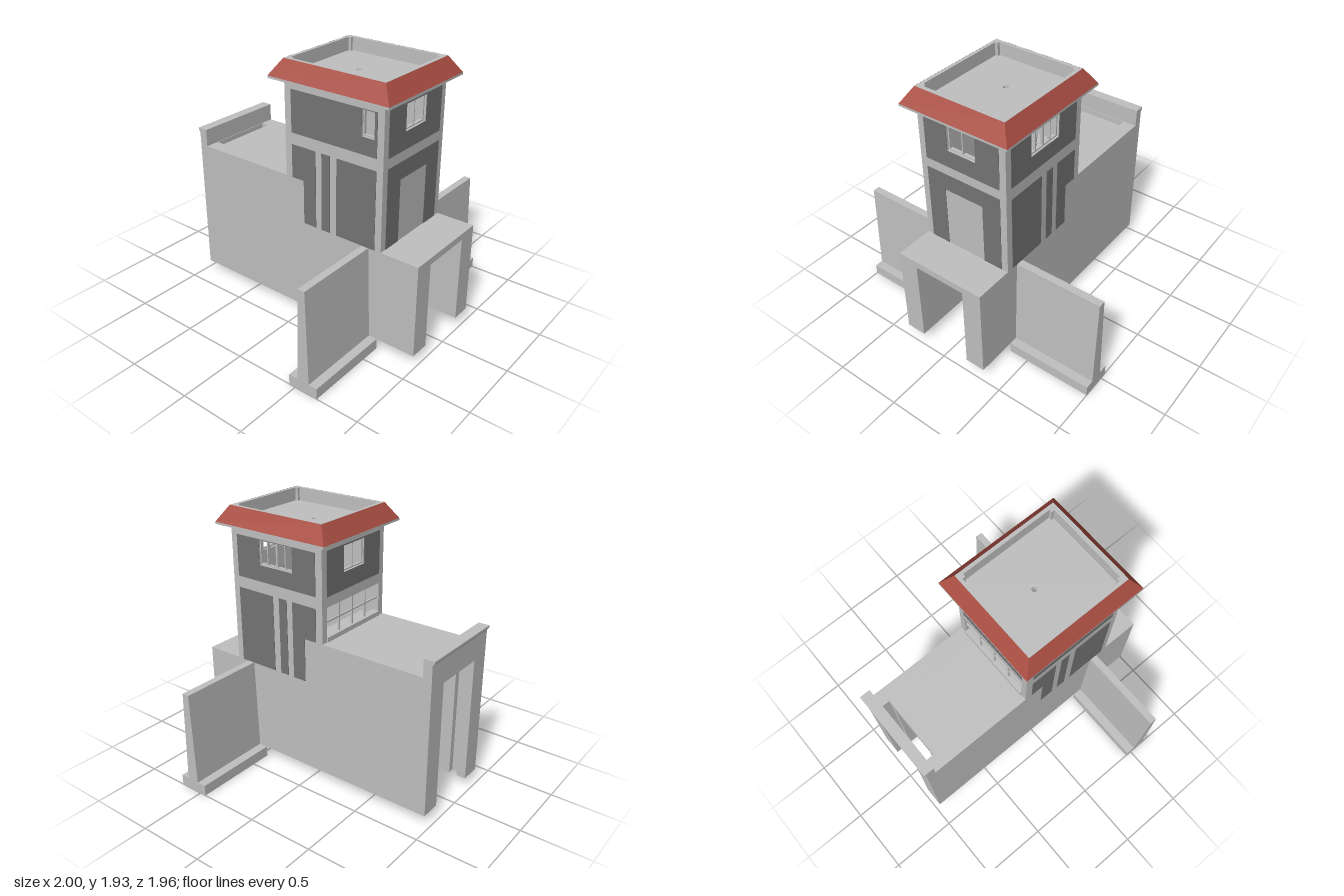
import * as THREE from 'three';

const stone = new THREE.MeshStandardMaterial({ color: 0xc0c0c0 });
stone.name = 'light stone';
const dark = new THREE.MeshStandardMaterial({ color: 0x757575 });
dark.name = 'dark plaster';
const red = new THREE.MeshStandardMaterial({ color: 0xa94d42, side: THREE.DoubleSide });
red.name = 'red roof tile';

const rect = (a0, a1, b0, b1) => [[a0, b0], [a1, b0], [a1, b1], [a0, b1]];
const vecs = pts => pts.map(p => new THREE.Vector2(p[0], p[1]));

// Flat outline with holes, extruded along +z
function slab(outline, holes, depth) {
  const s = new THREE.Shape(vecs(outline));
  holes.forEach(h => s.holes.push(h instanceof THREE.Path ? h : new THREE.Path(vecs(h))));
  return new THREE.ExtrudeGeometry(s, { depth, bevelEnabled: false, curveSegments: 8 });
}
// Outline in x, y filling z0..z1
const facing = (o, h, z0, z1) => slab(o, h, z1 - z0).translate(0, 0, z0);
// Outline in z, y filling x0..x1
const sideways = (o, h, x0, x1) => slab(o, h, x1 - x0).rotateY(-Math.PI / 2).translate(x1, 0, 0);
// Outline in x, z filling y0..y1
const level = (o, h, y0, y1) => slab(o, h, y1 - y0).rotateX(Math.PI / 2).translate(0, y1, 0);
const block = (x0, x1, y0, y1, z0, z1) =>
  new THREE.BoxGeometry(x1 - x0, y1 - y0, z1 - z0).translate((x0 + x1) / 2, (y0 + y1) / 2, (z0 + z1) / 2);

export function createModel() {
  const model = new THREE.Group();
  model.name = 'gatehouse';
  const add = (name, geo, mat = stone) => {
    const m = new THREE.Mesh(geo, mat);
    m.name = name;
    model.add(m);
  };
  const drain = () => new THREE.Path().absarc(0, 0.235, 0.018, 0, Math.PI * 2, true);

  // Passage walls, with two gate grooves on the inside
  const profile = [[0.98, 0.08], [0.98, 0.775], [0.045, 0.775], [0.045, 1.1], [-0.965, 1.1], [-0.965, 0.08]];
  const inner = [[0.36, 0.98, 0.775], [0.045, 0.3, 0.775], [-0.835, 0.045, 1.1], [-0.965, -0.895, 1.1]];
  for (const s of [-1, 1]) {
    const span = (a, b) => (s > 0 ? [a, b] : [-b, -a]);
    add('passageWall', sideways(profile, [], ...span(0.245, 0.35)));
    for (const [z0, z1, top] of inner) add('passageLining', block(...span(0.2, 0.245), 0.08, top, z0, z1));

    // Tapered wing wall on a broad foot
    add('wingFoot', block(...span(0.35, 1), 0, 0.08, 0.45, 0.68));
    add('wingWall', sideways([[0.52, 0.08], [0.615, 0.08], [0.592, 0.775], [0.538, 0.775]], [], ...span(0.35, 1)));
  }

  // Stepped passage ceiling
  for (const [y0, y1, z0, z1] of [
    [0.725, 0.775, 0.69, 0.98], [0.65, 0.775, 0.4, 0.69], [0.62, 0.775, 0.36, 0.4],
    [0.565, 1.1, 0, 0.045], [1.02, 1.1, -0.835, 0], [1.02, 1.1, -0.965, -0.895],
  ]) add('passageCeiling', block(-0.2, 0.2, y0, y1, z0, z1));
  add('towerFloor', level(rect(-0.2, 0.2, 0.045, 0.3), [drain()], 0.565, 0.775));

  // Rear parapet with projecting coping
  add('rearParapet', sideways(
    [[-0.9, 1.1], [-0.9, 1.23], [-0.98, 1.23], [-0.98, 1.215], [-0.965, 1.195], [-0.965, 1.1]], [], -0.35, 0.35));

  // Tower walls
  const win = rect(-0.115, 0.115, 1.55, 1.735);
  const gallery = rect(-0.3, 0.3, 1.135, 1.35);
  add('towerFrontWall', facing(rect(-0.35, 0.35, 0.775, 1.8), [win], 0.64, 0.69));
  add('towerBackWall', facing(rect(-0.35, 0.35, 1.1, 1.8), [win, gallery], -0.11, -0.06));
  const sideWall = [[-0.06, 1.1], [0.045, 1.1], [0.045, 0.775], [0.64, 0.775], [0.64, 1.8], [-0.06, 1.8]];
  const sideWindow = { '1': rect(0.14, 0.44, 1.55, 1.73), '-1': rect(0.52, 0.62, 1.55, 1.73) };
  for (const s of [-1, 1]) {
    const wall = s > 0 ? [0.3, 0.35] : [-0.35, -0.3];
    const skin = s > 0 ? [0.347, 0.353] : [-0.353, -0.347];
    add('towerSideWall', sideways(sideWall, [sideWindow[s]], ...wall));
    // Dark side panels
    add('upperSidePanel', sideways(rect(-0.055, 0.64, 1.43, 1.735), [sideWindow[s]], ...skin), dark);
    add('lowerSidePanel', sideways(rect(0.325, 0.64, 0.775, 1.345), [], ...skin), dark);
    add('lowerSidePanel', sideways(rect(0.2, 0.27, 0.775, 1.345), [], ...skin), dark);
    add('lowerSidePanel', sideways(
      [[0.045, 0.775], [0.15, 0.775], [0.15, 1.345], [-0.055, 1.345], [-0.055, 1.1], [0.045, 1.1]], [], ...skin), dark);
  }

  // Dark panels on front and back, the lower front one framing a pale doorway
  add('upperFrontPanel', facing(rect(-0.3, 0.3, 1.425, 1.745), [win], 0.687, 0.693), dark);
  add('upperBackPanel', facing(rect(-0.3, 0.3, 1.425, 1.745), [win], -0.113, -0.107), dark);
  add('lowerFrontPanel', facing([[-0.3, 0.775], [-0.155, 0.775], [-0.155, 1.23], [0.155, 1.23], [0.155, 0.775],
    [0.3, 0.775], [0.3, 1.355], [-0.3, 1.355]], [], 0.687, 0.693), dark);

  // Window frames
  for (const z of [0.655, -0.095])
    add('windowFrame', facing(win, [rect(-0.105, -0.004, 1.56, 1.725), rect(0.004, 0.105, 1.56, 1.725)], z, z + 0.02));
  const panes = [[0.15, 0.212], [0.22, 0.283], [0.298, 0.368], [0.376, 0.432]];
  add('sideWindowFrame', sideways(sideWindow[1], panes.map(p => rect(...p, 1.56, 1.72)), 0.315, 0.335));
  add('sideWindowFrame', sideways(sideWindow[-1], [rect(0.53, 0.61, 1.56, 1.72)], -0.335, -0.315));

  // Rear gallery sill and glazing bars
  add('gallerySill', block(-0.3, 0.3, 1.1, 1.135, -0.118, -0.105));
  add('galleryRail', block(-0.3, 0.3, 1.235, 1.247, -0.1, -0.088));
  for (const x of [-0.15, 0, 0.15]) add('galleryBar', block(x - 0.005, x + 0.005, 1.135, 1.35, -0.1, -0.088));

  // Eaves, roof deck and rim with small corner posts
  add('eaves', level(rect(-0.425, 0.425, -0.188, 0.768), [drain()], 1.8, 1.816));
  add('roofDeck', level(rect(-0.345, 0.345, -0.105, 0.685), [drain()], 1.816, 1.835));
  const [w, n, f, c] = [0.325, -0.085, 0.66, 0.022];
  const recess = [[-w + c, n], [w - c, n], [w - c, n + c], [w, n + c], [w, f - c], [w - c, f - c],
    [w - c, f], [-w + c, f], [-w + c, f - c], [-w, f - c], [-w, n + c], [-w + c, n + c]];
  add('roofRim', level(rect(-0.35, 0.35, -0.11, 0.69), [recess], 1.835, 1.932));

  // Sloping tiled skirt
  const skirt = new THREE.CylinderGeometry(1, 1, 1, 4, 1, true, Math.PI / 4).toNonIndexed();
  const p = skirt.attributes.position;
  for (let i = 0; i < p.count; i++) {
    const top = p.getY(i) > 0;
    p.setXYZ(i, Math.sign(p.getX(i)) * (top ? 0.351 : 0.425), top ? 1.932 : 1.816,
      0.29 + Math.sign(p.getZ(i)) * (top ? 0.401 : 0.478));
  }
  skirt.computeVertexNormals();
  add('tiledRoof', skirt, red);
  return model;
}
